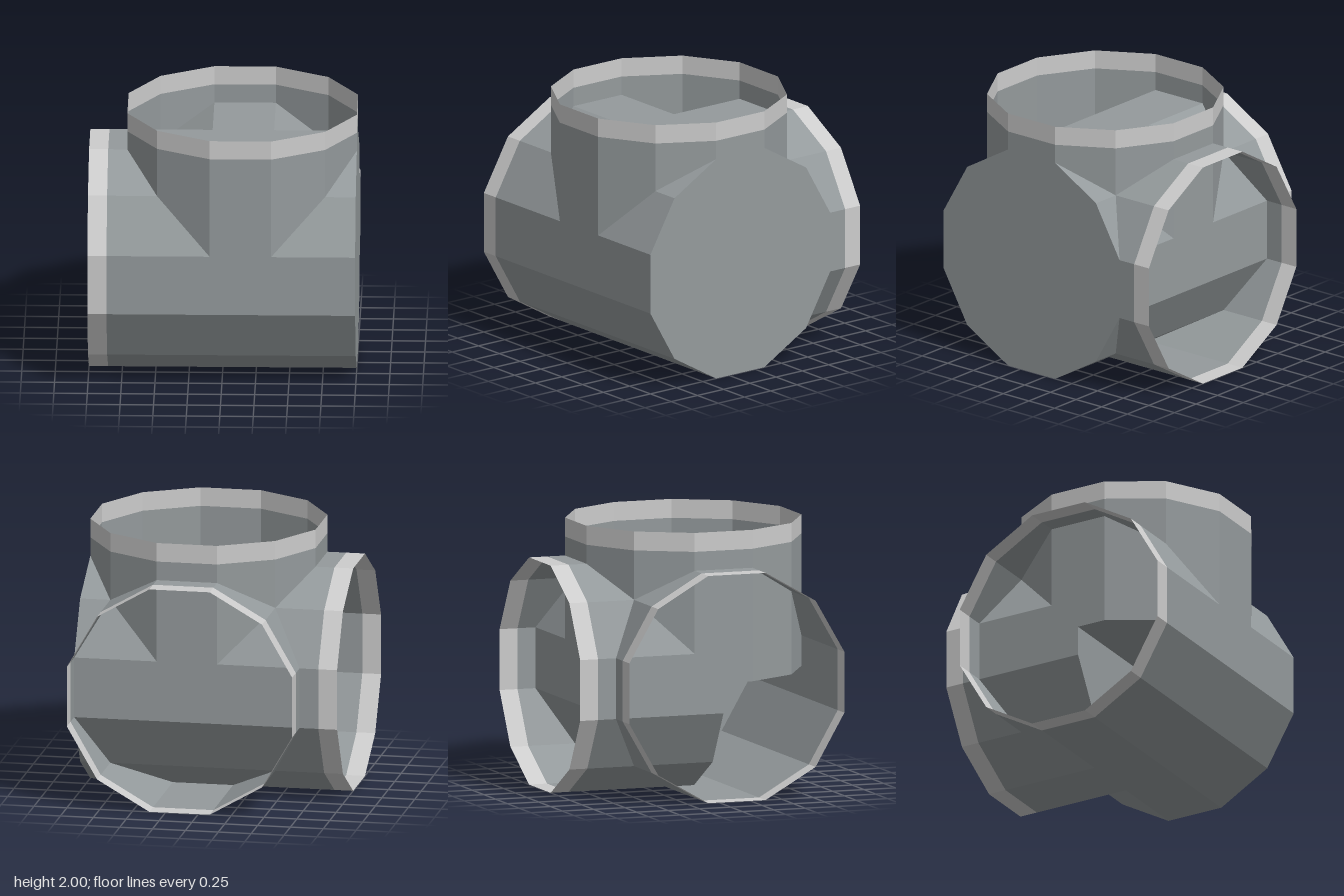
import * as THREE from 'three';

const SIDES = 12;
const APOTHEM = 0.857;                          // centre to flat side
const RADIUS = APOTHEM / Math.cos(Math.PI / SIDES);
const RIM = 0.143;                              // length of the lighter end band
const CENTRE = [1 - APOTHEM, APOTHEM, 1 - APOTHEM];

function flat(geometry) {
  const g = geometry.toNonIndexed();
  g.computeVertexNormals();
  return g;
}

// Open twelve-sided sleeve standing on its local y axis, with a flat side facing each axis
function sleeve(name, from, to, material) {
  const g = new THREE.CylinderGeometry(RADIUS, RADIUS, to - from, SIDES, 1, true, Math.PI / SIDES);
  g.translate(0, (from + to) / 2, 0);
  const mesh = new THREE.Mesh(flat(g), material);
  mesh.name = name;
  return mesh;
}

// Pipe closed at its base and open at its rim
function pipe(name, base, end, body, rim) {
  const group = new THREE.Group();
  group.name = name;
  const disc = new THREE.CircleGeometry(RADIUS, SIDES, Math.PI / SIDES);
  disc.rotateX(Math.PI / 2).translate(0, base, 0);
  const cap = new THREE.Mesh(flat(disc), body);
  cap.name = 'endCap';
  group.add(sleeve('wall', base, end - RIM, body), sleeve('rim', end - RIM, end, rim), cap);
  group.position.set(...CENTRE);
  return group;
}

export function createModel() {
  const body = new THREE.MeshStandardMaterial({ color: 0x949a9c, side: THREE.DoubleSide });
  body.name = 'pipe grey';
  const rim = new THREE.MeshStandardMaterial({ color: 0xcccccc, side: THREE.DoubleSide });
  rim.name = 'rim light grey';

  const model = new THREE.Group();
  model.name = 'pipeJunction';
  const reach = 2 - APOTHEM;

  // Main pipe runs across, closed at +x and open at -x
  const main = pipe('mainPipe', -APOTHEM, reach, body, rim);
  main.rotation.z = Math.PI / 2;

  // Branches start at the centre of the main pipe
  const top = pipe('topBranch', 0, reach, body, rim);
  const back = pipe('backBranch', 0, reach, body, rim);
  back.rotation.x = -Math.PI / 2;

  model.add(main, top, back);
  return model;
}
